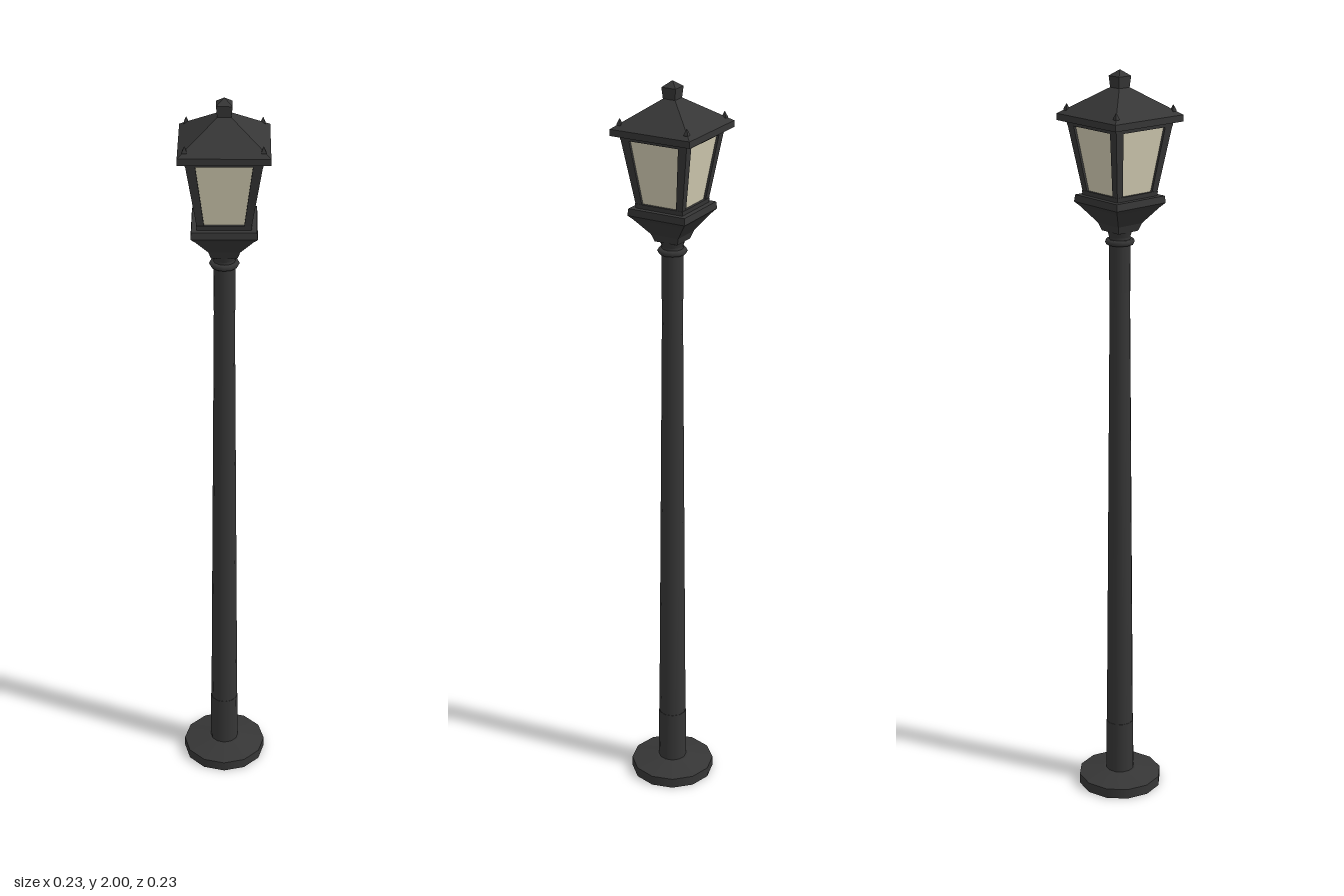
import * as THREE from 'three';

export function createModel() {
  const lamp = new THREE.Group();
  lamp.name = 'streetLamp';

  const iron = new THREE.MeshStandardMaterial({ color: 0x363636 });
  iron.name = 'dark iron';
  const pane = new THREE.MeshStandardMaterial({ color: 0xd4ceb4 });
  pane.name = 'frosted glass';

  function add(name, geometry, material = iron, parent = lamp) {
    const mesh = new THREE.Mesh(geometry, material);
    mesh.name = name;
    parent.add(mesh);
    return mesh;
  }

  function flat(geometry) {
    const g = geometry.toNonIndexed();
    g.computeVertexNormals();
    return g;
  }

  // Round section from height y0 to y1
  function round(name, r0, r1, y0, y1, sides = 12) {
    const g = new THREE.CylinderGeometry(r1, r0, y1 - y0, sides);
    return add(name, g.translate(0, (y0 + y1) / 2, 0));
  }

  // Square section with half widths h0 (bottom) and h1 (top)
  function square(name, h0, h1, y0, y1, material = iron, parent = lamp) {
    const g = new THREE.CylinderGeometry(h1 * Math.SQRT2, h0 * Math.SQRT2, y1 - y0, 4);
    g.rotateY(Math.PI / 4).translate(0, (y0 + y1) / 2, 0);
    return add(name, flat(g), material, parent);
  }

  // Base plate and tapering pole
  round('basePlate', 0.115, 0.115, 0, 0.028);
  round('baseBevel', 0.115, 0.045, 0.028, 0.042);
  round('poleFoot', 0.039, 0.038, 0.035, 0.19);
  round('poleShaft', 0.037, 0.027, 0.19, 1.43);
  round('poleHead', 0.028, 0.028, 1.43, 1.6);

  // Collar ring under the lantern
  const ring = add('collarRing', new THREE.TorusGeometry(0.031, 0.008, 6, 12).rotateX(Math.PI / 2));
  ring.position.y = 1.562;
  round('collar', 0.028, 0.034, 1.575, 1.595);

  // Stepped square lantern cup
  square('cupNeck', 0.033, 0.04, 1.59, 1.61);
  square('cupFlare', 0.04, 0.072, 1.61, 1.652);
  square('cupShoulder', 0.072, 0.083, 1.652, 1.664);
  square('cupRim', 0.083, 0.081, 1.664, 1.682);
  square('lowerFrame', 0.067, 0.069, 1.68, 1.694);

  // Tapered glass and slanting corner posts
  square('glass', 0.061, 0.088, 1.69, 1.866, pane);
  const y0 = 1.682, y1 = 1.87;
  for (const sx of [-1, 1]) {
    for (const sz of [-1, 1]) {
      const g = new THREE.BoxGeometry(1, y1 - y0, 1);
      const p = g.attributes.position;
      for (let i = 0; i < p.count; i++) {
        const top = p.getY(i) > 0;
        const center = top ? 0.083 : 0.057;
        const width = top ? 0.024 : 0.018;
        p.setX(i, sx * center + p.getX(i) * width);
        p.setZ(i, sz * center + p.getZ(i) * width);
      }
      add('cornerPost', flat(g.translate(0, (y0 + y1) / 2, 0)));

      // Small spike on each roof corner
      const spike = new THREE.Group();
      spike.name = 'cornerSpike';
      spike.position.set(sx * 0.095, 0, sz * 0.095);
      lamp.add(spike);
      square('spikeFoot', 0.006, 0.006, 1.885, 1.9, iron, spike);
      square('spikeTip', 0.006, 0.0005, 1.9, 1.914, iron, spike);
    }
  }
  square('upperFrame', 0.094, 0.096, 1.86, 1.873);

  // Roof and finial
  square('eave', 0.113, 0.113, 1.872, 1.889);
  square('roof', 0.113, 0.016, 1.889, 1.957);
  square('finialBlock', 0.017, 0.02, 1.953, 1.985);
  square('finialTip', 0.02, 0.001, 1.985, 2);

  return lamp;
}
